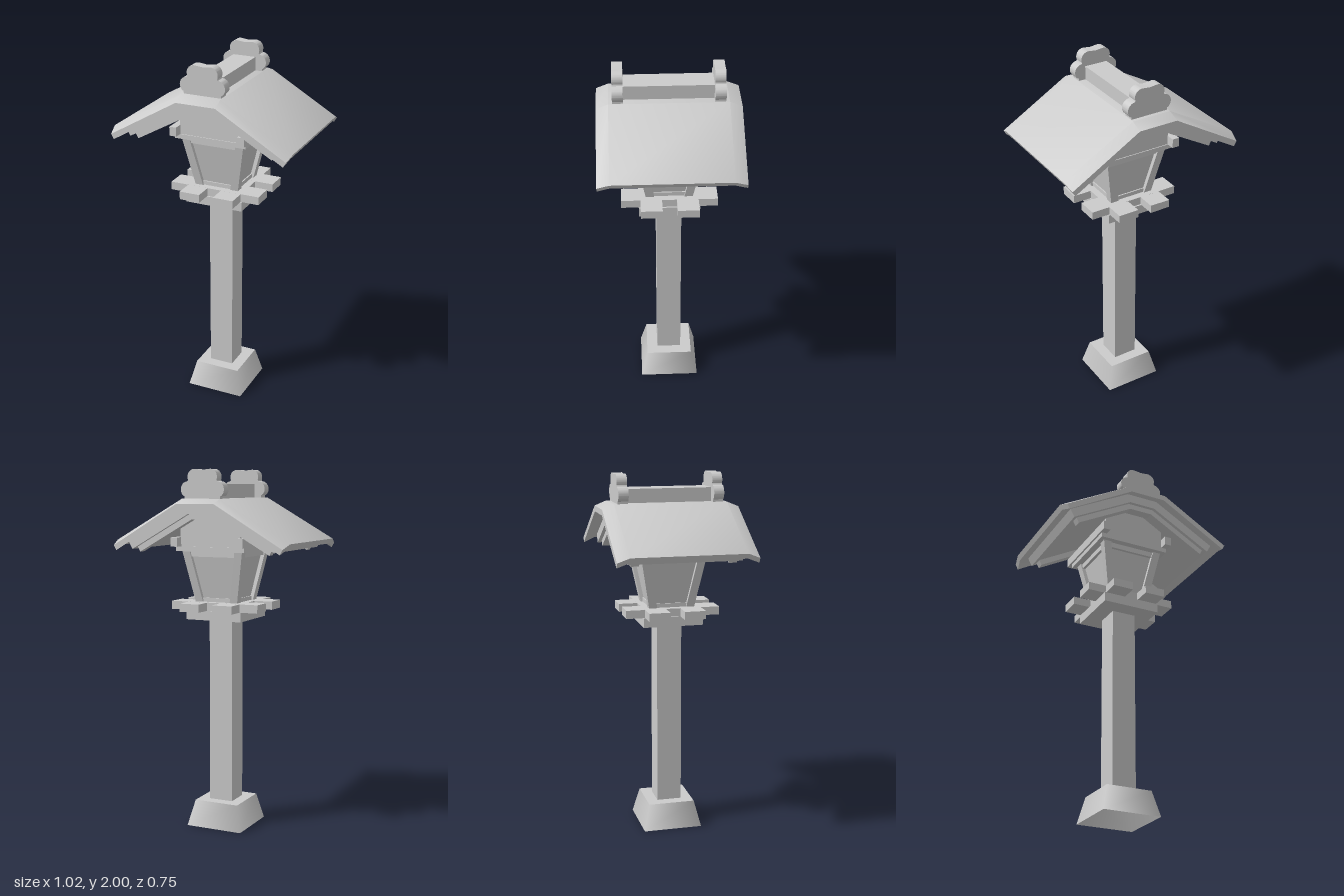
import * as THREE from 'three';
import { toCreasedNormals } from 'three/addons/utils/BufferGeometryUtils.js';

const grey = new THREE.MeshStandardMaterial({ color: 0xcccccc });
const greyDouble = new THREE.MeshStandardMaterial({ color: 0xcccccc, side: THREE.DoubleSide });

export function createModel() {
  const model = new THREE.Group();

  const add = (name, geometry, material = grey) => {
    const mesh = new THREE.Mesh(geometry, material);
    mesh.name = name;
    model.add(mesh);
    return mesh;
  };
  // Box given by its half sizes in x and z and its bottom and top
  const box = (name, hx, hz, y0, y1, x = 0, z = 0) =>
    add(name, new THREE.BoxGeometry(hx * 2, y1 - y0, hz * 2).translate(x, (y0 + y1) / 2, z));
  // Square frustum given by half widths at top and bottom
  const frustum = (top, bottom, y0, y1, open = false) =>
    new THREE.CylinderGeometry(top * Math.SQRT2, bottom * Math.SQRT2, y1 - y0, 4, 1, open)
      .rotateY(Math.PI / 4).translate(0, (y0 + y1) / 2, 0);
  // Box whose top is shifted, for leaning parts
  const leaning = (name, w, d, y0, y1, from, to) => {
    const g = new THREE.BoxGeometry(w, y1 - y0, d);
    const p = g.attributes.position;
    for (let i = 0; i < p.count; i++) {
      const end = p.getY(i) > 0 ? to : from;
      p.setX(i, p.getX(i) + end[0]);
      p.setZ(i, p.getZ(i) + end[1]);
    }
    g.translate(0, (y0 + y1) / 2, 0);
    g.computeVertexNormals();
    add(name, g);
  };
  const extrude = (points, depth, steps = 1) =>
    new THREE.ExtrudeGeometry(new THREE.Shape(points.map(([x, y]) => new THREE.Vector2(x, y))),
      { depth, steps, bevelEnabled: false }).translate(0, 0, -depth / 2);
  // Bent roof outline: flat crown, sloping sides, given thickness
  const bent = (flat, top, tipX, tipY, thick) => {
    const n = [0.49 * thick, 0.87 * thick];
    const half = [[flat, top], [tipX, tipY], [tipX - n[0], tipY - n[1]], [flat - 0.27 * thick, top - thick]];
    return [...half, ...half.slice().reverse().map(([x, y]) => [-x, y])];
  };

  // Hollow foot and post
  add('foot', frustum(0.13, 0.165, 0, 0.145, true), greyDouble);
  add('footTop', new THREE.PlaneGeometry(0.26, 0.26).rotateX(-Math.PI / 2).translate(0, 0.145, 0), greyDouble);
  box('post', 0.069, 0.069, 0.13, 1.19);

  // Platform with crossing planks
  box('platform', 0.165, 0.165, 1.183, 1.235);
  for (const s of [-1, 1]) {
    box('plankAlongX', 0.26, 0.058, 1.235, 1.28, 0, s * 0.098);
    box('plankAlongZ', 0.058, 0.26, 1.2352, 1.2798, s * 0.098, 0);
  }

  // Lantern chamber: recessed panels, leaning corner posts, rails
  add('chamberPanels', toCreasedNormals(frustum(0.158, 0.104, 1.27, 1.565), 0.5));
  for (const sx of [-1, 1]) {
    for (const sz of [-1, 1]) {
      leaning('cornerPost', 0.045, 0.045, 1.275, 1.565, [sx * 0.103, sz * 0.103], [sx * 0.158, sz * 0.158]);
    }
  }
  box('bottomRail', 0.117, 0.117, 1.275, 1.302);
  box('topRail', 0.168, 0.168, 1.53, 1.562);

  // Head frame, eave beams and gable wall
  box('headFrame', 0.205, 0.205, 1.56, 1.586);
  for (const s of [-1, 1]) box('eaveBeam', 0.02, 0.25, 1.586, 1.636, s * 0.195);
  add('gableWall', extrude([[-0.178, 1.58], [0.178, 1.58], [0.178, 1.69], [0.06, 1.758], [-0.06, 1.758], [-0.178, 1.69]], 0.4));

  // Roof sheet, drooping along both gable ends
  const roof = extrude(bent(0.11, 1.845, 0.51, 1.62, 0.031), 0.75, 3);
  const p = roof.attributes.position;
  for (let i = 0; i < p.count; i++) {
    const x = p.getX(i), z = p.getZ(i);
    if (Math.abs(z) > 0.3) {
      p.setY(i, p.getY(i) - 0.026);
      if (Math.abs(x) > 0.3) p.setX(i, x - Math.sign(x) * 0.014);
    } else {
      p.setZ(i, Math.sign(z) * 0.31);
    }
  }
  add('roof', toCreasedNormals(roof, 0.6));

  // Under-roof layer and gable boards
  add('roofLining', extrude(bent(0.09, 1.815, 0.445, 1.615, 0.05), 0.61));
  for (const s of [-1, 1]) {
    add('gableBoard', extrude(bent(0.075, 1.768, 0.4, 1.585, 0.033), 0.045).translate(0, 0, s * 0.2625));
  }

  // Ridge and its lobed end ornaments
  box('ridge', 0.065, 0.24, 1.8, 1.92);
  const lobed = new THREE.Shape();
  lobed.moveTo(-0.105, 1.835);
  lobed.lineTo(0.105, 1.835);
  lobed.lineTo(0.105, 1.858);
  lobed.absarc(0.084, 1.893, 0.043, -0.9, 1.5, false);
  lobed.absarc(0.046, 1.959, 0.041, -0.4, 1.7, false);
  lobed.lineTo(0, 1.995);
  lobed.absarc(-0.046, 1.959, 0.041, Math.PI - 1.7, Math.PI + 0.4, false);
  lobed.absarc(-0.084, 1.893, 0.043, Math.PI - 1.5, Math.PI + 0.9, false);
  lobed.lineTo(-0.105, 1.858);
  for (const s of [-1, 1]) {
    const g = new THREE.ExtrudeGeometry(lobed, { depth: 0.056, bevelEnabled: false, curveSegments: 8 });
    add('ridgeOrnament', toCreasedNormals(g.translate(0, 0, s * 0.262 - 0.028), 0.5));
  }

  return model;
}
